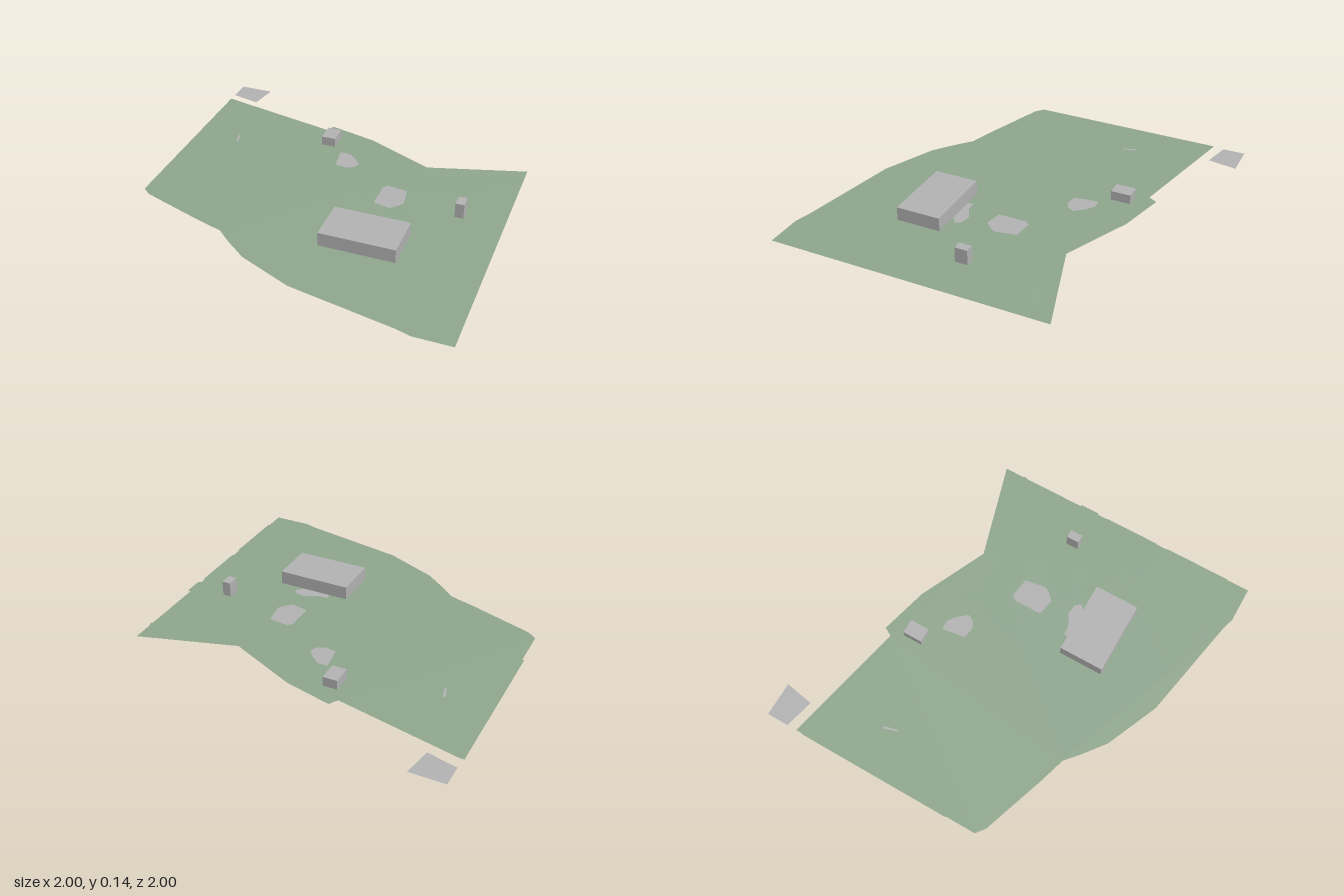
import * as THREE from 'three';

const ground = new THREE.MeshStandardMaterial({ color: 0x91a88f, side: THREE.DoubleSide });
ground.name = 'ground green';
const stone = new THREE.MeshStandardMaterial({ color: 0xb4b4b4, side: THREE.DoubleSide });
stone.name = 'pale grey';

export function createModel() {
  const model = new THREE.Group();
  model.name = 'siteModel';

  // Flat horizontal sheet from an [x, z] outline at a given height
  function sheet(name, y, points, material) {
    const shape = new THREE.Shape(points.map(([x, z]) => new THREE.Vector2(x, -z)));
    const geometry = new THREE.ShapeGeometry(shape).rotateX(-Math.PI / 2);
    const mesh = new THREE.Mesh(geometry, material);
    mesh.position.y = y;
    mesh.name = name;
    model.add(mesh);
  }

  // Box given by its limits
  function block(name, [x0, x1], [y0, y1], [z0, z1]) {
    const mesh = new THREE.Mesh(new THREE.BoxGeometry(x1 - x0, y1 - y0, z1 - z0), stone);
    mesh.position.set((x0 + x1) / 2, (y0 + y1) / 2, (z0 + z1) / 2);
    mesh.name = name;
    model.add(mesh);
  }

  // Main terrain level
  sheet('mainTerrain', 0.03, [
    [-1, -0.81], [-0.27, -0.655], [-0.24, -0.705], [0.04, -0.635], [0.44, -0.455], [1, -0.62],
    [1, 0.995], [0.79, 0.995], [0.7, 0.97], [0.1, 0.855], [-0.21, 0.72], [-0.34, 0.62],
    [-0.42, 0.55], [-0.57, 0.505], [-0.95, 0.375], [-1, 0.335],
  ], ground);

  // Lower contour level along the right-hand edge
  sheet('lowTerrain', 0, [
    [-1, -0.78], [-0.92, -0.67], [-0.82, -0.35], [-0.71, 0], [-0.85, 0.1], [-1, 0.15],
  ], ground);

  // Raised contour levels
  sheet('backRidge', 0.038, [
    [1, -0.5], [0.87, -0.5], [0.62, -0.37], [0.39, -0.355], [0.32, -0.39], [0.3, -0.36],
    [0.25, -0.36], [0.19, -0.39], [0.1, -0.47], [0.08, -0.47], [0.08, -0.44], [0.155, -0.32],
    [0.075, -0.16], [0.04, -0.08], [0.01, -0.03], [0.03, -0.02], [0.12, -0.05], [0.19, -0.04],
    [0.24, -0.06], [0.22, -0.14], [0.27, -0.19], [0.37, -0.2], [0.44, -0.16], [1, -0.48],
  ], ground);
  sheet('middleRidge', 0.048, [
    [1, -0.105], [0.45, -0.07], [0.455, 0.03], [0.43, 0.05], [0.35, 0.055], [0.35, 0.07],
    [0.4, 0.07], [0.39, 0.1], [0.42, 0.14], [0.49, 0.1], [1, 0.01],
  ], ground);
  sheet('innerRidge', 0.038, [
    [1, 0.07], [0.47, 0.15], [0.48, 0.17], [0.58, 0.25], [0.62, 0.34], [0.66, 0.35],
    [0.7, 0.3], [0.79, 0.29], [0.88, 0.34], [1, 0.4],
  ], ground);
  sheet('frontRidge', 0.038, [
    [1, 0.47], [0.88, 0.42], [0.8, 0.37], [0.7, 0.39], [0.63, 0.44], [0.5, 0.63], [0.4, 0.72],
    [0.35, 0.84], [0.74, 0.91], [0.85, 0.89], [0.9, 0.85], [1, 0.86],
  ], ground);

  // Paved patches
  sheet('backPatch', 0.04, [
    [-0.09, -0.42], [-0.03, -0.42], [0.02, -0.38], [0.06, -0.33], [0.04, -0.29], [0, -0.27], [-0.07, -0.28],
  ], stone);
  sheet('middlePatch', 0.042, [
    [0.29, -0.17], [0.41, -0.155], [0.43, -0.03], [0.41, 0], [0.37, 0.04], [0.27, 0.02], [0.27, -0.14],
  ], stone);
  sheet('frontPatch', 0.036, [
    [0.23, 0.2], [0.28, 0.2], [0.36, 0.16], [0.42, 0.17], [0.44, 0.2], [0.4, 0.235], [0.23, 0.24],
  ], stone);
  sheet('cornerPatch', 0.025, [[-1, -1], [-0.8, -1], [-0.83, -0.83], [-1, -0.87]], stone);
  sheet('narrowStrip', 0.033, [[-0.755, -0.4], [-0.74, -0.4], [-0.72, -0.32], [-0.73, -0.32]], stone);

  // Buildings
  block('largeBuilding', [0.12, 0.55], [0.037, 0.117], [0.235, 0.495]);
  block('smallBuilding', [-0.23, -0.145], [0.037, 0.092], [-0.585, -0.47]);
  block('tower', [0.73, 0.78], [0.055, 0.143], [-0.06, 0.013]);

  return model;
}
